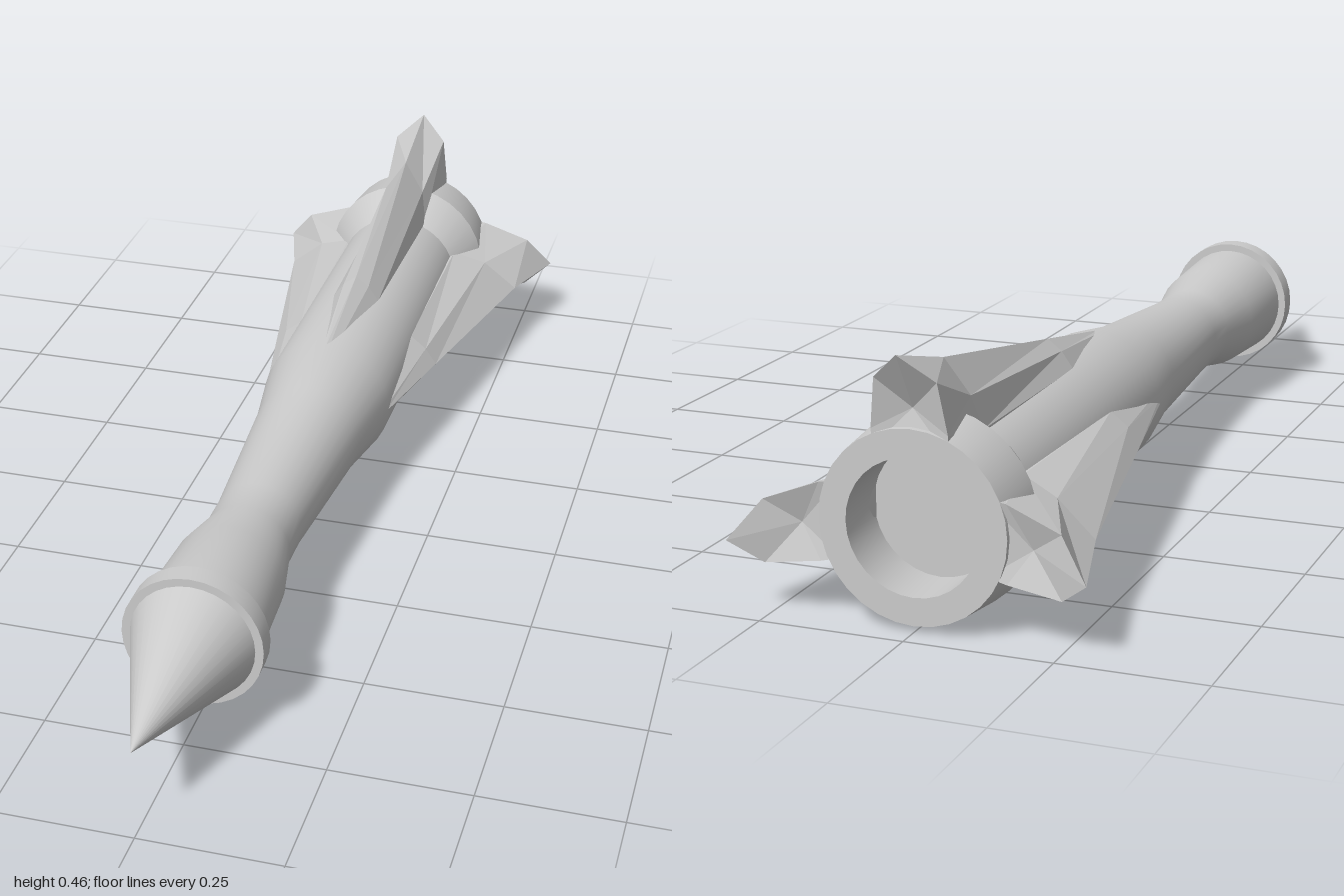
import * as THREE from 'three';
import { toCreasedNormals } from 'three/addons/utils/BufferGeometryUtils.js';

const AXIS_Y = 0.17;

// Lathe around the z axis; profile holds [radius, z] from back to front
function turned(name, profile, material) {
  let geo = new THREE.LatheGeometry(profile.map(([r, z]) => new THREE.Vector2(r, z)), 32);
  geo.rotateX(Math.PI / 2);
  geo = toCreasedNormals(geo, 0.4);
  const mesh = new THREE.Mesh(geo, material);
  mesh.name = name;
  mesh.position.y = AXIS_Y;
  return mesh;
}

// Fin stations: z of root, shoulder and ridge, then [half width, height] of each line
const STATIONS = [
  { z: [-0.16, -0.16, -0.16], base: [0.015, 0.1], root: [0.015, 0.115], shoulder: [0.006, 0.122], ridge: 0.125 },
  { z: [-0.4, -0.4, -0.4], base: [0.045, 0.1], root: [0.047, 0.117], shoulder: [0.026, 0.147], ridge: 0.167 },
  { z: [-0.8, -0.82, -0.83], base: [0.05, 0.1], root: [0.053, 0.12], shoulder: [0.041, 0.18], ridge: 0.241 },
  { z: [-0.96, -0.97, -1], base: [0.063, 0.125], root: [0.065, 0.155], shoulder: [0.053, 0.24], ridge: 0.286 },
];

// Lofted fin; place(w, h) turns width and height into x, y
function fin(name, place, material) {
  const point = (w, h, z) => [...place(w, h), z];
  const sections = STATIONS.map(({ z, base, root, shoulder, ridge }) => {
    const half = [[...base, z[0]], [...root, z[0]], [...shoulder, z[1]]];
    const other = half.map(([w, h, d]) => [-w, h, d]).reverse();
    return [...half, [0, ridge, z[2]], ...other].map((p) => point(...p));
  });
  const n = sections[0].length;
  const pos = [];
  const tri = (a, b, c) => pos.push(...a, ...b, ...c);
  for (let s = 0; s < sections.length - 1; s++) {
    for (let i = 0; i < n; i++) {
      const j = (i + 1) % n;
      const [a, b, c, d] = [sections[s][i], sections[s][j], sections[s + 1][j], sections[s + 1][i]];
      tri(a, d, c);
      tri(a, c, b);
    }
  }
  // Front cap and hollowed rear cap
  const first = sections[0], last = sections[sections.length - 1];
  const front = point(0, 0.112, -0.16), back = point(0, 0.19, -0.945);
  for (let i = 0; i < n; i++) {
    const j = (i + 1) % n;
    tri(front, first[i], first[j]);
    tri(back, last[j], last[i]);
  }
  const geo = new THREE.BufferGeometry();
  geo.setAttribute('position', new THREE.Float32BufferAttribute(pos, 3));
  geo.computeVertexNormals();
  const mesh = new THREE.Mesh(geo, material);
  mesh.name = name;
  mesh.position.y = AXIS_Y;
  return mesh;
}

export function createModel() {
  const model = new THREE.Group();
  model.name = 'rocket';
  const smooth = new THREE.MeshStandardMaterial({ color: 0xcccccc });
  const flat = new THREE.MeshStandardMaterial({ color: 0xcccccc, flatShading: true });

  // Waisted body with flared, hollow exhaust
  model.add(turned('body', [
    [0, -0.86], [0.113, -0.86], [0.113, -0.96], [0.16, -0.96], [0.17, -0.86], [0.127, -0.78],
    [0.127, -0.17], [0.105, -0.03], [0.082, 0.3], [0.082, 0.38], [0.102, 0.48], [0.111, 0.66],
  ], smooth));
  model.add(turned('collar', [
    [0.1, 0.65], [0.125, 0.65], [0.125, 0.69], [0.1, 0.69],
  ], smooth));
  model.add(turned('noseCone', [[0.112, 0.685], [0, 1]], smooth));

  // Upright fin and two side fins that droop outwards
  model.add(fin('topFin', (w, h) => [w, h], flat));
  for (const side of [1, -1]) {
    const place = (w, h) => {
      const reach = h > 0.127 ? 0.127 + 1.11 * (h - 0.127) : h;
      return [side * reach, -side * w - 0.27 * Math.max(0, h - 0.13)];
    };
    model.add(fin(side > 0 ? 'leftFin' : 'rightFin', place, flat));
  }
  return model;
}
